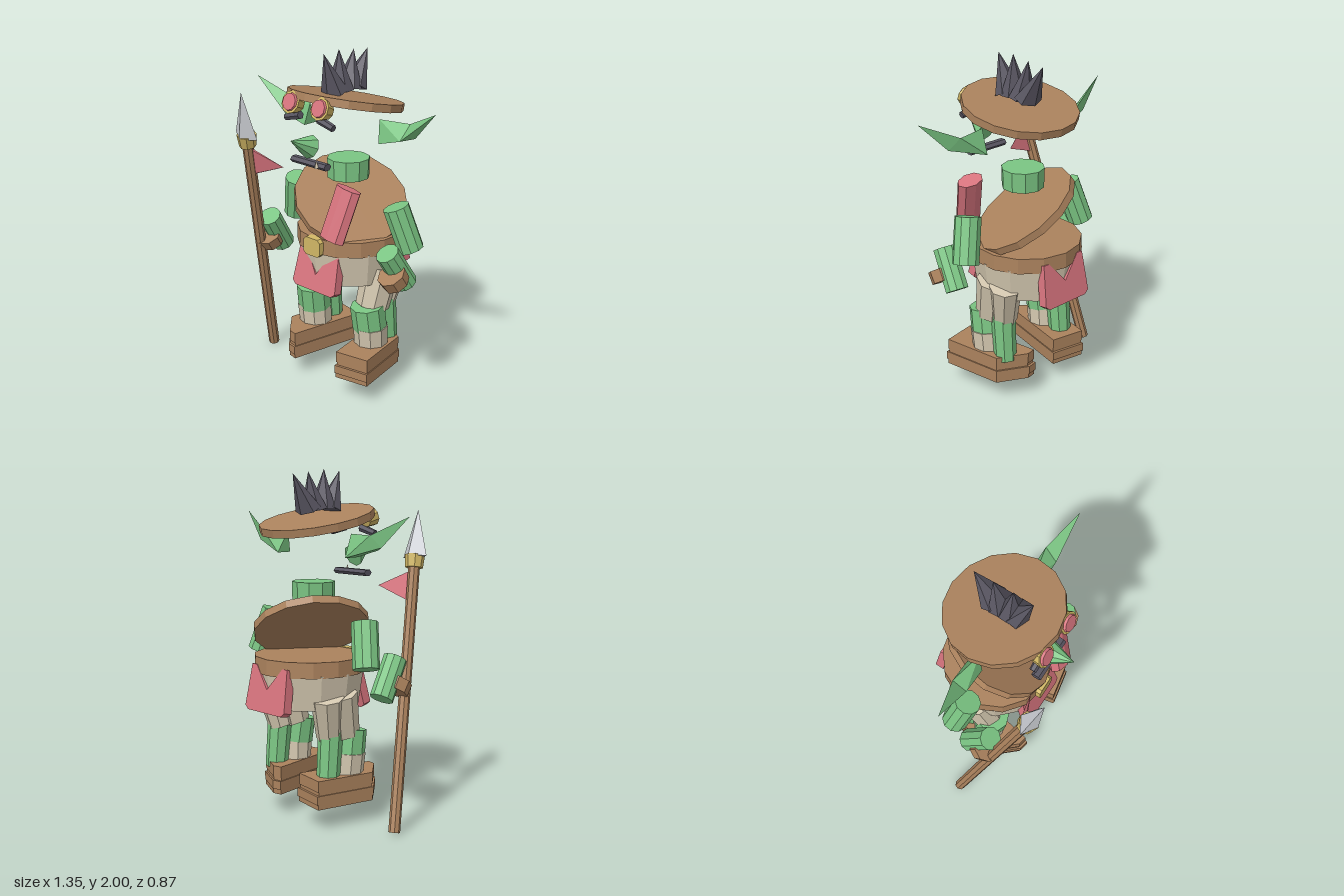
import * as THREE from 'three';
import { ConvexGeometry } from 'three/addons/geometries/ConvexGeometry.js';

const mat = (name, color) => {
  const m = new THREE.MeshStandardMaterial({ color });
  m.name = name;
  return m;
};
const V = (x, y, z) => new THREE.Vector3(x, y, z);

export function createModel() {
  const root = new THREE.Group();
  root.name = 'spearCarrier';
  const green = mat('skinGreen', 0x7bc583), brown = mat('leatherBrown', 0xab825d);
  const beige = mat('clothBeige', 0xd4c8b0), pink = mat('clothPink', 0xd9757f);
  const dark = mat('hairDark', 0x585561), gold = mat('brassGold', 0xd2b866);
  const steel = mat('spearSteel', 0xcbced3);

  // Faceted mesh from any geometry
  const add = (name, geo, material, parent = root) => {
    const g = geo.index ? geo.toNonIndexed() : geo;
    g.computeVertexNormals();
    const m = new THREE.Mesh(g, material);
    m.name = name;
    parent.add(m);
    return m;
  };
  // Prism or cone running from point a to point b
  const rod = (name, a, b, r0, r1, sides, material, parent = root) => {
    const dir = b.clone().sub(a);
    const m = add(name, new THREE.CylinderGeometry(r1, r0, dir.length(), sides), material, parent);
    m.position.copy(a).add(b).multiplyScalar(0.5);
    m.quaternion.setFromUnitVectors(V(0, 1, 0), dir.normalize());
    return m;
  };
  // Outline in x and y, thickened along z
  const plate = (points, depth) => new THREE.ExtrudeGeometry(
    new THREE.Shape(points.map(([x, y]) => new THREE.Vector2(x, y))), { depth, bevelEnabled: false });
  // Disc given by its centre and facing
  const disc = (name, c, n, r, t, sides, material) => {
    const h = n.clone().normalize().multiplyScalar(t / 2);
    return rod(name, c.clone().sub(h), c.clone().add(h), r, r, sides, material);
  };

  // Tilted hat brim and fan of hair spikes
  disc('hatBrim', V(0, 1.711, -0.035), V(0, 0.978, -0.208), 0.332, 0.045, 16, brown);
  [[0.055, 0.14, 1.99], [0.01, 0.02, 2.0], [-0.055, -0.1, 1.985], [-0.1, -0.215, 1.975]].forEach(([z0, z1, y]) => {
    const s = rod('hairSpike', V(0, 1.775, z0), V(0, y, z1), 0.063, 0, 6, dark);
    s.scale.x = 1.4;
  });

  // Goggles, brows and ears, mirrored
  for (const s of [1, -1]) {
    const x = s * 0.11;
    rod('goggleRim', V(x, 1.712, 0.232), V(x, 1.735, 0.29), 0.05, 0.065, 10, gold);
    rod('goggleLens', V(x, 1.734, 0.288), V(x, 1.739, 0.302), 0.052, 0.048, 10, pink);
    rod('brow', V(s * 0.07, 1.662, 0.253), V(s * 0.18, 1.632, 0.255), 0.024, 0.02, 6, dark);

    const base = [V(s * 0.265, 1.645, -0.02), V(s * 0.285, 1.515, -0.085), V(s * 0.285, 1.515, 0.01)];
    const mid = [V(s * 0.45, 1.645, -0.06), V(s * 0.51, 1.58, -0.03), V(s * 0.44, 1.56, 0.015)];
    add('earBase', new ConvexGeometry([...base, ...mid]), green);
    add('earTip', new ConvexGeometry([...mid, V(s * 0.675, 1.75, 0.01)]), green);
  }

  // Nose, mouth and tooth
  rod('nose', V(0, 1.495, 0.255), V(0, 1.56, 0.402), 0.068, 0, 8, green);
  rod('mouth', V(-0.13, 1.402, 0.25), V(0.13, 1.402, 0.25), 0.03, 0.03, 6, dark).scale.x = 0.68;
  rod('tooth', V(0.075, 1.395, 0.278), V(0.075, 1.44, 0.282), 0.016, 0, 4, beige);

  // Neck, slanted chest hide, belt and hips
  rod('neck', V(0, 1.25, -0.06), V(0, 1.367, -0.06), 0.122, 0.125, 10, green);
  disc('chestHide', V(0.005, 1.105, -0.075), V(0.49, 0.81, 0.29), 0.335, 0.045, 14, brown);
  rod('belt', V(0, 0.86, -0.09), V(0, 0.95, -0.09), 0.325, 0.322, 14, brown);
  rod('hips', V(0, 0.67, -0.09), V(0, 0.87, -0.09), 0.29, 0.32, 12, beige);
  rod('chestRoll', V(0.155, 0.985, 0.245), V(0.205, 1.275, 0.16), 0.085, 0.085, 8, pink).scale.z = 0.62;
  const buckle = add('buckle', plate([[-0.064, -0.035], [-0.045, -0.053], [0.045, -0.053], [0.064, -0.035],
    [0.064, 0.035], [0.045, 0.053], [-0.045, 0.053], [-0.064, 0.035]], 0.05), gold);
  buckle.position.set(0, 0.9, 0.2);

  // Notched cloth flaps, front and back
  const flap = (name, y, z, tilt, turn, notch) => {
    const holder = new THREE.Group();
    holder.name = name;
    holder.rotation.y = turn;
    const m = add(name + 'Cloth', plate([[-0.15, 0], [-0.168, -0.24], [-0.14, -0.262], [0.14, -0.262],
      [0.168, -0.24], [0.15, 0], [0.11, 0], [0, notch], [-0.11, 0]], 0.055), pink, holder);
    m.position.set(0, y, z);
    m.rotation.x = tilt;
    root.add(holder);
  };
  flap('frontFlap', 0.868, 0.128, -0.24, 0, -0.165);
  flap('backFlap', 0.9, 0.338, -0.17, Math.PI, -0.13);

  // Boot outline with one slanted corner, used turned around for the other foot
  const bootOutline = [[-0.107, -0.245], [0.107, -0.245], [0.107, 0.245], [0.05, 0.245], [-0.107, 0.125]];
  const bootLayers = [['sole', 0.12, 0.15, 0.99], ['welt', 0.15, 0.2, 1.02], ['bootGroove', 0.2, 0.22, 0.96], ['bootUpper', 0.22, 0.285, 0.98]];

  // Arms and legs, mirrored; the spear arm reaches a little further forward
  for (const s of [1, -1]) {
    const side = s > 0 ? 'left' : 'right';
    const arm = new THREE.Group();
    arm.name = side + 'Arm';
    rod('upperArm', V(s * 0.385, 1.165, -0.03), V(s * 0.455, 0.915, -0.085), 0.076, 0.076, 10, green, arm);
    const lower = new THREE.Group();
    lower.name = side + 'LowerArm';
    if (s < 0) lower.position.set(0, 0.005, 0.045);
    rod('forearm', V(s * 0.47, 0.735, -0.025), V(s * 0.445, 0.945, 0.11), 0.068, 0.068, 10, green, lower);
    rod('wristCuff', V(s * 0.478, 0.765, 0.065), V(s * 0.472, 0.825, 0.105), 0.08, 0.084, 8, brown, lower);
    arm.add(lower);
    root.add(arm);

    const leg = new THREE.Group();
    leg.name = side + 'Leg';
    rod('trouserFront', V(s * 0.215, 0.51, -0.035), V(s * 0.235, 0.75, -0.09), 0.1, 0.112, 8, beige, leg);
    rod('trouserBack', V(s * 0.21, 0.5, -0.13), V(s * 0.245, 0.74, -0.18), 0.075, 0.095, 8, beige, leg);
    rod('calf', V(s * 0.225, 0.25, -0.155), V(s * 0.22, 0.55, -0.13), 0.066, 0.072, 8, green, leg);
    rod('knee', V(s * 0.225, 0.385, -0.005), V(s * 0.22, 0.53, 0.015), 0.102, 0.102, 9, green, leg);
    rod('shinWrap', V(s * 0.225, 0.25, -0.015), V(s * 0.23, 0.4, -0.005), 0.098, 0.103, 9, beige, leg);

    const boot = new THREE.Group();
    boot.name = side + 'Boot';
    boot.position.set(s * 0.228, 0, -0.028);
    boot.rotation.y = s * 0.185;
    for (const [name, y0, y1, k] of bootLayers) {
      const outline = bootOutline.map(([x, z]) => [-s * x * k, -s * z * k]);
      add(name, plate(outline, y1 - y0).rotateX(Math.PI / 2), brown, boot).position.y = y1;
    }
    leg.add(boot);
    root.add(leg);
  }

  // Spear with ferrule, blade and pennant
  const foot = V(-0.598, 0.005, 0), tip = V(-0.352, 1.77, 0.432);
  const along = t => foot.clone().lerp(tip, t);
  const spear = new THREE.Group();
  spear.name = 'spear';
  rod('spearShaft', foot, along(0.83), 0.033, 0.033, 8, brown, spear);
  rod('spearFerrule', along(0.815), along(0.855), 0.05, 0.057, 8, gold, spear);
  const blade = rod('spearBlade', along(0.85), tip, 0.088, 0, 4, steel, spear);
  blade.scale.z = 0.65;
  add('pennant', new ConvexGeometry([V(-0.39, 1.43, 0.34), V(-0.4, 1.43, 0.355), V(-0.415, 1.255, 0.3),
    V(-0.425, 1.255, 0.315), V(-0.2, 1.335, 0.265)]), pink, spear);
  root.add(spear);
  return root;
}
